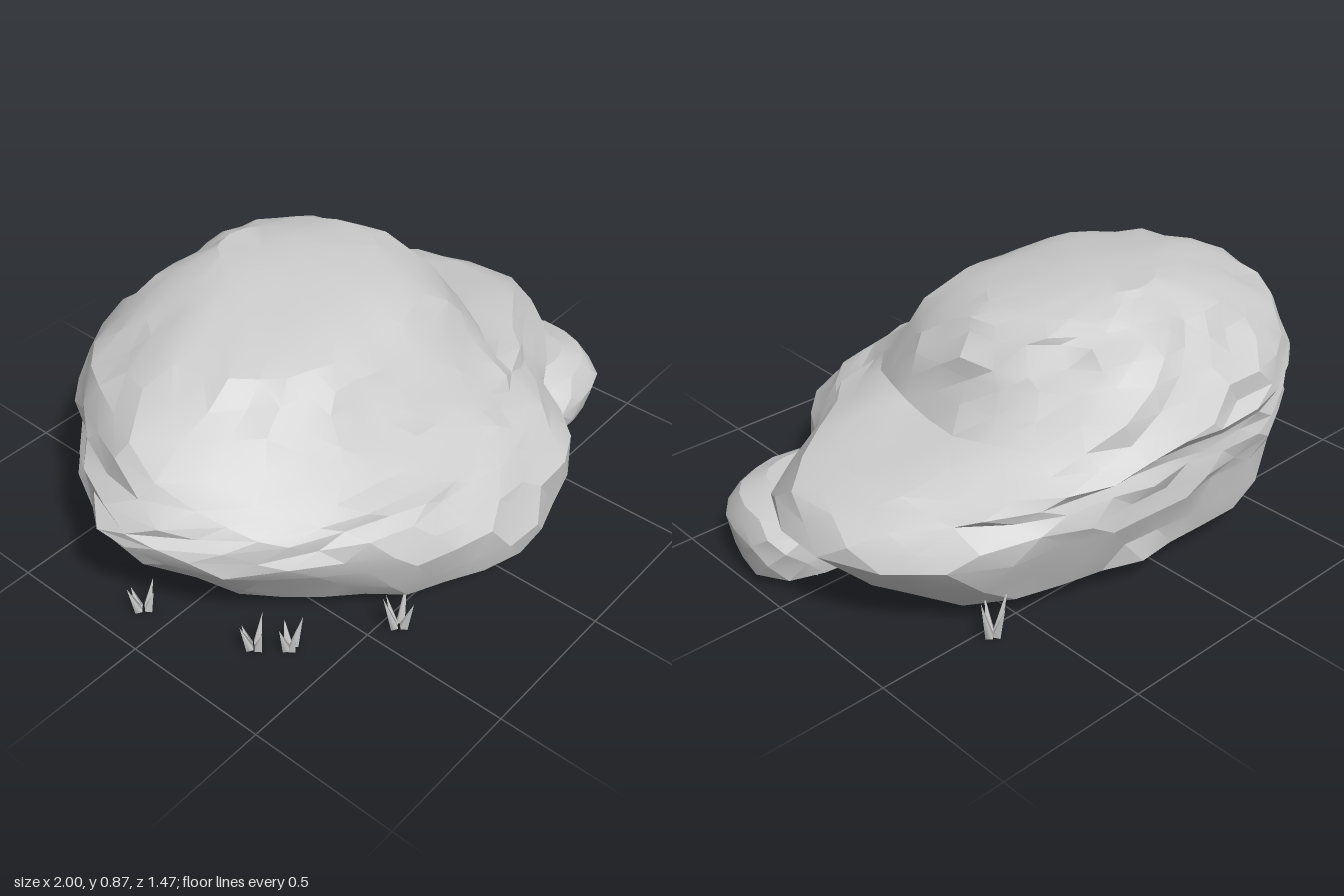
import * as THREE from 'three';
import { toCreasedNormals } from 'three/addons/utils/BufferGeometryUtils.js';

// Catmull-Rom blend of four values
const blend = (a, b, c, d, t) =>
  b + 0.5 * t * (c - a + t * (2 * a - 5 * b + 4 * c - d + t * (3 * (b - c) + d - a)));

function seeded(seed) {
  return () => {
    seed = (seed * 16807) % 2147483647;
    return seed / 2147483647 - 0.5;
  };
}

// Stone lofted from levels of [height, centre x, centre z, radii from +x towards +z]
function stoneGeometry(levels, segments, steps, rough, seed) {
  const rand = seeded(seed);
  const count = levels[0][3].length;
  const level = (i) => levels[Math.min(Math.max(i, 0), levels.length - 1)];
  const radius = (l, u) => {
    const i = Math.floor(u);
    const at = (k) => level(l)[3][(i + k + count) % count];
    return blend(at(-1), at(0), at(1), at(2), u - i);
  };

  const rows = (levels.length - 1) * steps;
  const pos = [];
  for (let r = 0; r <= rows; r++) {
    const l = Math.min(Math.floor(r / steps), levels.length - 2);
    const t = r / steps - l;
    const [y, cx, cz] = [0, 1, 2].map((k) => THREE.MathUtils.lerp(level(l)[k], level(l + 1)[k], t));
    for (let s = 0; s < segments; s++) {
      const f = (s + (r % 2) * 0.5) / segments;
      const u = (f * count) % count;
      const a = f * Math.PI * 2;
      const smooth = blend(radius(l - 1, u), radius(l, u), radius(l + 1, u), radius(l + 2, u), t);
      const amount = rough * Math.min(1, smooth * smooth * 4);
      const rad = smooth + rand() * amount;
      const x = cx + Math.cos(a) * rad, z = cz + Math.sin(a) * rad;
      // The underside curves up a little towards front and back
      const lift = r === 0 ? 0.09 * z * z - 0.015 : rand() * amount * 0.5;
      pos.push(x, y + lift - 0.02 * x, z);
    }
  }

  // Sides, with the diagonals alternating from row to row
  const index = [];
  for (let r = 0; r < rows; r++) {
    for (let s = 0; s < segments; s++) {
      const n = (s + 1) % segments;
      const a = r * segments + s, b = r * segments + n;
      const c = a + segments, d = b + segments;
      if (r % 2) index.push(a, c, d, a, d, b);
      else index.push(a, c, b, b, c, d);
    }
  }

  // Underside and crown
  for (const r of [0, rows]) {
    const mid = [0, r === 0 ? -0.02 : 0, 0];
    for (let s = 0; s < segments; s++) {
      for (let k = 0; k < 3; k++) mid[k] += pos[(r * segments + s) * 3 + k] / segments;
    }
    const c = pos.length / 3;
    pos.push(...mid);
    for (let s = 0; s < segments; s++) {
      const a = r * segments + s, b = r * segments + (s + 1) % segments;
      if (r === 0) index.push(c, a, b);
      else index.push(c, b, a);
    }
  }

  const geo = new THREE.BufferGeometry();
  geo.setAttribute('position', new THREE.Float32BufferAttribute(pos, 3));
  geo.setIndex(index);
  return toCreasedNormals(geo, 0.35);
}

export function createModel() {
  const group = new THREE.Group();
  const stone = new THREE.MeshStandardMaterial({ color: 0xcccccc });
  stone.name = 'pale grey';

  const addStone = (name, ...args) => {
    const mesh = new THREE.Mesh(stoneGeometry(...args), stone);
    mesh.name = name;
    group.add(mesh);
  };

  // Large rock: undercut base, low ledge on its left, domed top set back from the front
  addStone('mainRock', [
    [0.08, 0, 0, [0.78, 0.68, 0.70, 0.71, 0.65, 0.64, 0.71, 0.76, 0.75, 0.67, 0.70, 0.78]],
    [0.29, 0, 0, [0.97, 0.72, 0.72, 0.68, 0.71, 0.80, 0.91, 0.86, 0.79, 0.70, 0.76, 0.95]],
    [0.40, 0, 0, [0.91, 0.63, 0.61, 0.60, 0.65, 0.80, 0.99, 0.88, 0.80, 0.72, 0.75, 0.89]],
    [0.46, 0, 0, [0.79, 0.59, 0.54, 0.51, 0.59, 0.76, 0.97, 0.87, 0.80, 0.72, 0.74, 0.82]],
    [0.53, -0.08, 0, [0.58, 0.54, 0.47, 0.42, 0.47, 0.63, 0.85, 0.80, 0.77, 0.72, 0.73, 0.66]],
    [0.66, -0.15, -0.1, [0.60, 0.55, 0.46, 0.41, 0.43, 0.53, 0.68, 0.62, 0.60, 0.55, 0.57, 0.59]],
    [0.77, -0.15, -0.15, [0.52, 0.48, 0.40, 0.36, 0.38, 0.42, 0.46, 0.43, 0.42, 0.40, 0.44, 0.49]],
    [0.83, -0.10, -0.2, [0.38, 0.33, 0.28, 0.25, 0.26, 0.27, 0.30, 0.29, 0.29, 0.28, 0.32, 0.35]],
    [0.865, -0.08, -0.28, [0.14, 0.13, 0.12, 0.12, 0.12, 0.13, 0.14, 0.14, 0.15, 0.15, 0.15, 0.14]],
  ], 32, 2, 0.045, 11);

  // Small boulder at the front corner
  addStone('smallBoulder', [
    [0.07, 0.77, 0.25, [0.20, 0.19, 0.18, 0.26, 0.36, 0.34, 0.25, 0.26]],
    [0.17, 0.77, 0.25, [0.21, 0.21, 0.20, 0.28, 0.30, 0.30, 0.25, 0.28]],
    [0.25, 0.77, 0.23, [0.18, 0.17, 0.17, 0.22, 0.24, 0.24, 0.20, 0.23]],
    [0.285, 0.75, 0.23, [0.10, 0.10, 0.10, 0.13, 0.14, 0.14, 0.12, 0.12]],
  ], 14, 2, 0.05, 47);

  // Grass tufts: [x, z, height], each a fan of leaning pointed blades
  const tufts = [
    [0.30, 0.57, 0.17], [-0.41, 0.55, 0.15], [-0.76, 0.27, 0.11], [-0.69, 0.35, 0.11],
    [0.82, 0.09, 0.11], [-0.87, -0.10, 0.11], [0.62, -0.53, 0.15],
  ];
  const blade = new THREE.ConeGeometry(0.016, 1, 4).translate(0, 0.5, 0);
  const rand = seeded(83);
  tufts.forEach(([x, z, height]) => {
    const tuft = new THREE.Group();
    tuft.name = 'grassTuft';
    for (let i = 0; i < 4; i++) {
      const a = (i / 4) * Math.PI * 2 + rand();
      const mesh = new THREE.Mesh(blade, stone);
      mesh.name = 'grassBlade';
      mesh.position.set(Math.cos(a) * 0.016, 0.005, Math.sin(a) * 0.016);
      mesh.scale.y = height * (i % 2 ? 0.75 : 1);
      mesh.rotation.set(Math.sin(a) * 0.28, 0, -Math.cos(a) * 0.28);
      tuft.add(mesh);
    }
    tuft.position.set(x, 0, z);
    group.add(tuft);
  });

  return group;
}
